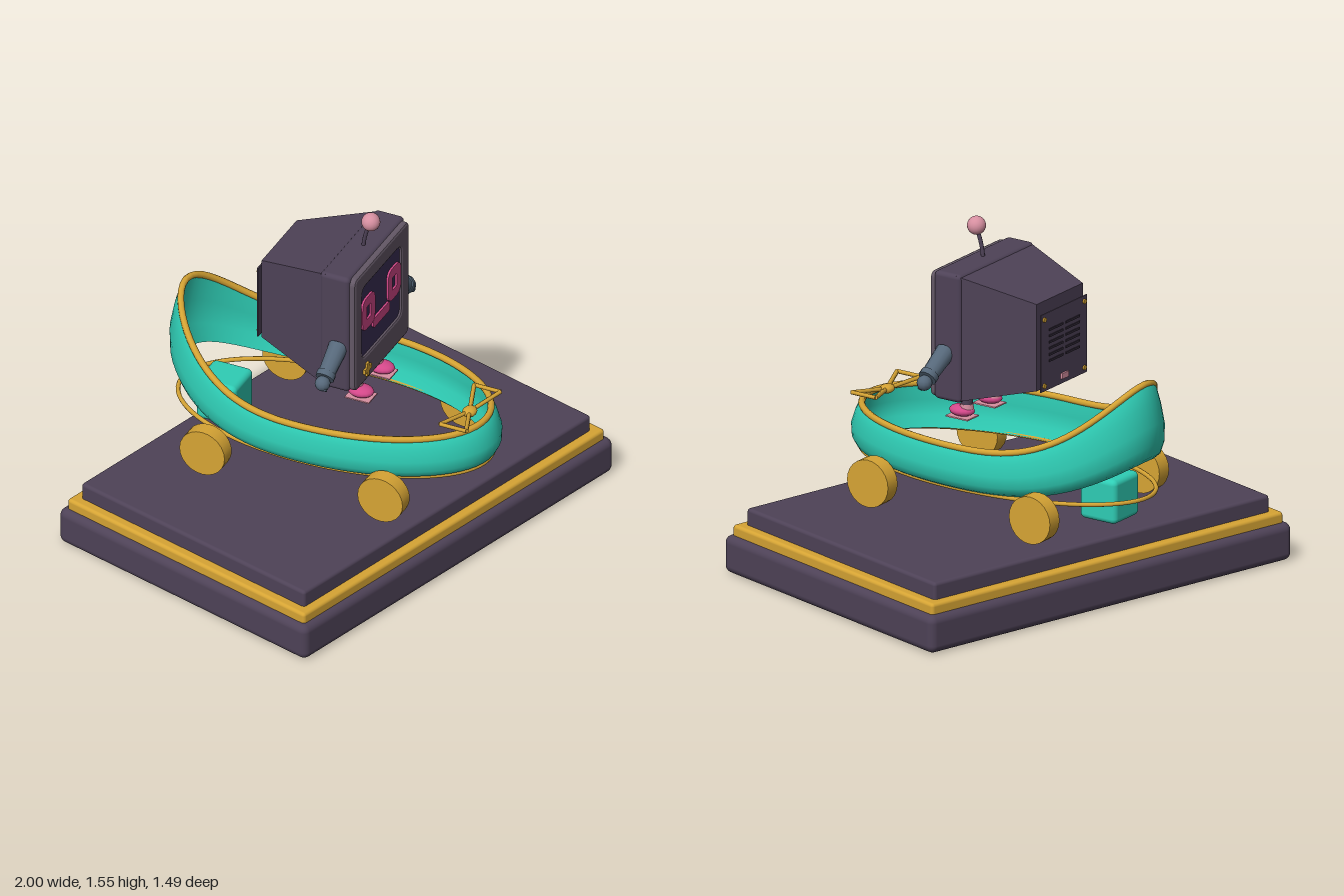
import * as THREE from 'three';
import { RoundedBoxGeometry } from 'three/addons/geometries/RoundedBoxGeometry.js';

const mat = (name, color, side = THREE.FrontSide) => {
  const m = new THREE.MeshStandardMaterial({ color, side });
  m.name = name;
  return m;
};

export function createModel() {
  const plum = mat('plum', 0x4e4257);
  const bezelGrey = mat('bezel mauve', 0x645866);
  const gold = mat('gold', 0xd6a434);
  const teal = mat('teal', 0x2fcdb5, THREE.DoubleSide);
  const indigo = mat('screen indigo', 0x3a2f55);
  const pink = mat('hot pink', 0xd4488a);
  const rose = mat('pale rose', 0xd68fa0);
  const steel = mat('steel blue', 0x56687a);
  const dark = mat('vent dark', 0x2f2736);

  const model = new THREE.Group();
  const add = (parent, name, geo, m, x = 0, y = 0, z = 0) => {
    const mesh = new THREE.Mesh(geo, m);
    mesh.name = name;
    mesh.position.set(x, y, z);
    parent.add(mesh);
    return mesh;
  };
  const box = (w, h, d, r) => (r ? new RoundedBoxGeometry(w, h, d, 3, r) : new THREE.BoxGeometry(w, h, d));
  // Cylinder between two points
  const rod = (parent, name, a, b, r0, r1, m, sides = 12) => {
    const p = new THREE.Vector3(...a), q = new THREE.Vector3(...b);
    const dir = q.clone().sub(p);
    const mesh = add(parent, name, new THREE.CylinderGeometry(r1, r0, dir.length(), sides), m);
    mesh.position.copy(p).add(q).multiplyScalar(0.5);
    mesh.quaternion.setFromUnitVectors(new THREE.Vector3(0, 1, 0), dir.normalize());
    return mesh;
  };

  // Stepped plinth
  add(model, 'plinthBase', box(2, 0.17, 1.42, 0.035), plum, 0, 0.085, 0);
  add(model, 'plinthTrim', box(1.94, 0.06, 1.36, 0.015), gold, 0, 0.187, 0);
  add(model, 'plinthTop', box(1.85, 0.09, 1.28, 0.015), plum, 0, 0.247, 0);

  // Cart, turned on the plinth
  const cart = new THREE.Group();
  cart.name = 'cart';
  cart.rotation.y = 0.28;
  model.add(cart);

  // Stern sweeps up toward the back
  const lift = (c) => 0.31 * Math.pow(Math.max(0, -c), 3);

  // Hull: closed wall section [height, half width, half length] swept round an oval
  const section = [
    [0, 0.372, 0.715], [0.08, 0.4, 0.745], [0.25, 0.423, 0.762], [0.5, 0.427, 0.764], [0.78, 0.417, 0.745],
    [1, 0.405, 0.722], [1, 0.39, 0.705], [0.6, 0.397, 0.73], [0.25, 0.392, 0.728], [0, 0.36, 0.7],
  ];
  const N = 72, M = section.length, pos = [], idx = [];
  for (let i = 0; i < N; i++) {
    const t = (i / N) * Math.PI * 2, c = Math.cos(t), s = Math.sin(t);
    for (const [v, b, a] of section) {
      const low = 0.455 + lift(c) * 0.5, high = 0.652 + lift(c);
      pos.push(b * s, low + (high - low) * v, a * c);
    }
    const n = (i + 1) % N;
    for (let j = 0; j < M; j++) {
      const k = (j + 1) % M;
      idx.push(i * M + j, n * M + j, n * M + k, i * M + j, n * M + k, i * M + k);
    }
  }
  const hull = new THREE.BufferGeometry();
  hull.setAttribute('position', new THREE.Float32BufferAttribute(pos, 3));
  hull.setIndex(idx);
  hull.computeVertexNormals();
  add(cart, 'hull', hull, teal);

  // Gold rails
  const rail = (name, b, a, yAt, r) => {
    const pts = [];
    for (let i = 0; i < 36; i++) {
      const t = (i / 36) * Math.PI * 2;
      pts.push(new THREE.Vector3(b * Math.sin(t), yAt(Math.cos(t)), a * Math.cos(t)));
    }
    add(cart, name, new THREE.TubeGeometry(new THREE.CatmullRomCurve3(pts, true), 96, r, 8, true), gold);
  };
  rail('rimRail', 0.397, 0.713, (c) => 0.652 + lift(c), 0.015);
  rail('lowerRail', 0.37, 0.73, () => 0.455, 0.01);

  // Wheels and seat block
  for (const x of [-0.41, 0.41]) for (const z of [-0.423, 0.423]) {
    add(cart, 'wheel', new THREE.CylinderGeometry(0.107, 0.107, 0.072, 24), gold, x, 0.415, z).rotation.z = Math.PI / 2;
  }
  add(cart, 'seatBlock', box(0.19, 0.2, 0.19, 0.025), teal, 0, 0.43, -0.53);

  // Open-loop bow on the prow
  const bow = new THREE.Group();
  bow.name = 'bow';
  bow.position.set(-0.01, 0.675, 0.64);
  cart.add(bow);
  for (const s of [-1, 1]) {
    const tips = [[0, 0, 0], [s * 0.17, 0.018, 0.065], [s * 0.17, 0.018, -0.06]];
    tips.forEach((p, i) => rod(bow, 'bowLoop', p, tips[(i + 1) % 3], 0.01, 0.01, gold, 6));
  }
  add(bow, 'bowKnot', new THREE.SphereGeometry(0.04, 12, 8), gold).scale.set(1, 0.5, 0.8);

  // Robot with a monitor head, sharing the cart's heading
  const robot = new THREE.Group();
  robot.name = 'robot';
  cart.add(robot);
  add(robot, 'headShell', box(0.56, 0.58, 0.14, 0.02), plum, 0, 1.09, 0.125);

  // Tapered rear casing
  const rear = box(0.55, 0.57, 0.35);
  const rp = rear.attributes.position;
  for (let i = 0; i < rp.count; i++) if (rp.getZ(i) < 0) {
    rp.setX(i, rp.getX(i) * 0.63);
    rp.setY(i, rp.getY(i) * 0.69);
  }
  rear.computeVertexNormals();
  add(robot, 'rearCasing', rear, plum, 0, 1.09, -0.095);

  // Front bezel with a screen opening
  const rounded = (path, w, h, r) => {
    const x = w / 2, y = h / 2;
    path.moveTo(-x + r, -y);
    path.lineTo(x - r, -y); path.quadraticCurveTo(x, -y, x, -y + r);
    path.lineTo(x, y - r); path.quadraticCurveTo(x, y, x - r, y);
    path.lineTo(-x + r, y); path.quadraticCurveTo(-x, y, -x, y - r);
    path.lineTo(-x, -y + r); path.quadraticCurveTo(-x, -y, -x + r, -y);
    return path;
  };
  const frame = rounded(new THREE.Shape(), 0.515, 0.545, 0.02);
  const opening = rounded(new THREE.Path(), 0.41, 0.38, 0.05);
  opening.curves.forEach((c) => ['v0', 'v1', 'v2'].forEach((k) => c[k] && (c[k].y += 0.022)));
  frame.holes.push(opening);
  const frameGeo = new THREE.ExtrudeGeometry(frame, {
    depth: 0.035, bevelEnabled: true, bevelSize: 0.012, bevelThickness: 0.012, bevelSegments: 2, curveSegments: 6,
  });
  add(robot, 'bezel', frameGeo, bezelGrey, 0, 1.086, 0.173);
  const plate = (shape, depth) => new THREE.ExtrudeGeometry(shape, { depth, bevelEnabled: false, curveSegments: 6 });
  add(robot, 'screen', plate(rounded(new THREE.Shape(), 0.42, 0.39, 0.05), 0.009), indigo, 0, 1.108, 0.2);

  // Pixel face
  for (const x of [-0.127, 0.127]) {
    const eye = rounded(new THREE.Shape(), 0.125, 0.16, 0.045);
    eye.holes.push(rounded(new THREE.Path(), 0.042, 0.065, 0.008));
    add(robot, 'eye', plate(eye, 0.009), pink, x, 1.138, 0.209);
  }
  add(robot, 'mouth', plate(rounded(new THREE.Shape(), 0.165, 0.048, 0.018), 0.009), pink, 0, 1.045, 0.209);
  add(robot, 'plusButton', box(0.064, 0.022, 0.016), gold, -0.157, 0.862, 0.222);
  add(robot, 'plusButton', box(0.022, 0.064, 0.016), gold, -0.157, 0.862, 0.222);

  // Antenna
  const stalk = new THREE.QuadraticBezierCurve3(
    new THREE.Vector3(0, 1.37, 0.13), new THREE.Vector3(0, 1.44, 0.135), new THREE.Vector3(0, 1.5, 0.165));
  add(robot, 'antennaStalk', new THREE.TubeGeometry(stalk, 10, 0.009, 8), plum);
  add(robot, 'antennaBall', new THREE.SphereGeometry(0.041, 20, 14), rose, -0.005, 1.51, 0.168);

  // Rear panel, vents and screws
  add(robot, 'rearPanel', box(0.345, 0.35, 0.006), plum, 0, 1.065, -0.29);
  for (let i = 0; i < 6; i++) for (const x of [-0.062, 0.062]) {
    add(robot, 'vent', box(0.105, 0.01, 0.006), dark, x, 1.02 + i * 0.028, -0.294);
  }
  for (const x of [-0.15, 0.15]) for (const y of [0.915, 1.215]) {
    add(robot, 'screw', new THREE.CylinderGeometry(0.011, 0.011, 0.01, 10), gold, x, y, -0.295).rotation.x = Math.PI / 2;
  }
  add(robot, 'rearSocket', box(0.05, 0.025, 0.012), rose, 0, 0.925, -0.296);

  // Arms and legs
  for (const s of [-1, 1]) {
    rod(robot, 'arm', [s * 0.265, 1.02, 0.14], [s * 0.4, 0.94, 0.14], 0.044, 0.036, steel);
    rod(robot, 'cuff', [s * 0.382, 0.952, 0.14], [s * 0.405, 0.937, 0.14], 0.042, 0.042, steel);
    add(robot, 'hand', new THREE.SphereGeometry(0.034, 12, 8), steel, s * 0.425, 0.922, 0.14);
    rod(robot, 'finger', [s * 0.425, 0.915, 0.15], [s * 0.44, 0.893, 0.155], 0.015, 0.012, steel, 8);
    rod(robot, 'leg', [s * 0.1, 0.71, 0.145], [s * 0.1, 0.82, 0.145], 0.025, 0.027, plum);
    add(robot, 'ankle', new THREE.CylinderGeometry(0.028, 0.032, 0.025, 14), rose, s * 0.1, 0.725, 0.145);
    add(robot, 'shoe', new THREE.SphereGeometry(0.05, 16, 10), pink, s * 0.103, 0.704, 0.168).scale.set(0.9, 0.52, 1.2);
    add(robot, 'sole', box(0.085, 0.006, 0.115), rose, s * 0.103, 0.677, 0.168);
  }
  return model;
}
